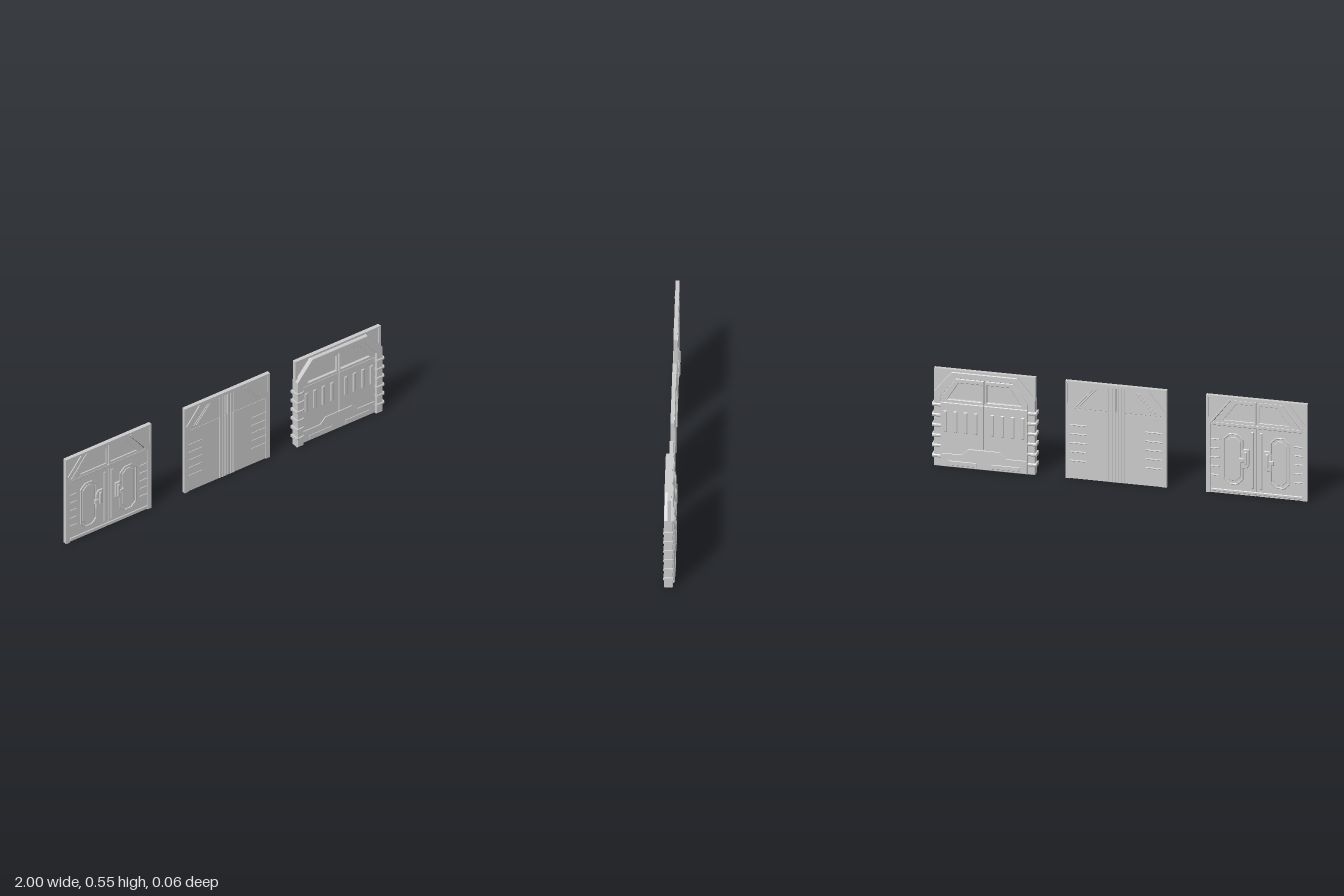
import * as THREE from 'three';

const mat = new THREE.MeshStandardMaterial({ color: 0xcccccc, flatShading: true });

// Flat polygon extruded from z0 to z1, with bevelled edges and optional holes
function slab(parent, name, pts, z0, z1, bevel = 0, holes = []) {
  const toV = a => a.map(p => new THREE.Vector2(p[0], p[1]));
  const shape = new THREE.Shape(toV(pts));
  holes.forEach(h => shape.holes.push(new THREE.Path(toV(h))));
  const geo = new THREE.ExtrudeGeometry(shape, {
    depth: z1 - z0 - 2 * bevel, bevelEnabled: bevel > 0, bevelThickness: bevel,
    bevelSize: bevel, bevelOffset: -bevel, bevelSegments: 1, steps: 1,
  });
  geo.translate(0, 0, z0 + bevel);
  const mesh = new THREE.Mesh(geo, mat);
  mesh.name = name;
  parent.add(mesh);
  return mesh;
}

const rect = (x0, x1, y0, y1) => [[x0, y0], [x1, y0], [x1, y1], [x0, y1]];
const flip = pts => pts.map(([x, y]) => [-x, y]).reverse();
const both = half => [...half, ...flip(half)];
const octagon = (x0, x1, y0, y1, c) => [
  [x0 + c, y0], [x1 - c, y0], [x1, y0 + c], [x1, y1 - c],
  [x1 - c, y1], [x0 + c, y1], [x0, y1 - c], [x0, y0 + c]];

// Same slab on the left and the right half
function pair(parent, name, pts, z0, z1, bevel = 0, holes = []) {
  slab(parent, name + 'Left', pts, z0, z1, bevel, holes);
  slab(parent, name + 'Right', flip(pts), z0, z1, bevel, holes.map(flip));
}

// Straight bar of width w between two points
function bar([ax, ay], [bx, by], w) {
  const l = Math.hypot(bx - ax, by - ay);
  const nx = -(by - ay) / l * w / 2, ny = (bx - ax) / l * w / 2;
  return [[ax - nx, ay - ny], [bx - nx, by - ny], [bx + nx, by + ny], [ax + nx, ay + ny]];
}

// Thin surround with chamfered doorway and sunken corner triangles
function surround(g) {
  const outline = [
    [0.245, 0], [0.27, 0], [0.27, 0.547], [-0.27, 0.547], [-0.27, 0], [-0.245, 0],
    [-0.245, 0.39], [-0.137, 0.53], [0.137, 0.53], [0.245, 0.39]];
  const tri = [[0.258, 0.425], [0.258, 0.535], [0.172, 0.535]];
  slab(g, 'surround', outline, -0.01, 0.011, 0, [tri, flip(tri)]);
  pair(g, 'cornerPanel', tri, -0.004, 0.005);
}

// Double door with long panels, handles and windows
function panelledDoor() {
  const g = new THREE.Group();
  g.name = 'panelledDoor';
  surround(g);
  pair(g, 'leaf', rect(0.003, 0.247, 0, 0.39), -0.005, 0.005);
  slab(g, 'seam', rect(-0.003, 0.003, 0, 0.53), -0.002, 0.002);
  slab(g, 'lintel', rect(-0.245, 0.245, 0.38, 0.4), -0.009, 0.009, 0.003);
  slab(g, 'threshold', rect(-0.245, 0.245, 0.008, 0.024), -0.009, 0.009, 0.003);
  // Windows
  const outer = [[0.003, 0.395], [0.235, 0.395], [0.132, 0.53], [0.003, 0.53]];
  const inner = [[0.014, 0.414], [0.178, 0.414], [0.108, 0.508], [0.014, 0.508]];
  pair(g, 'windowFrame', outer, -0.008, 0.008, 0.002, [inner]);
  pair(g, 'windowPane', inner, -0.002, 0.002);
  pair(g, 'windowSlope', bar([0.242, 0.4], [0.138, 0.533], 0.012), -0.012, 0.013, 0.003);
  // Long octagonal panels, handles and ribs
  pair(g, 'panelRim', octagon(0.072, 0.178, 0.055, 0.342, 0.03), -0.009, 0.009, 0.003,
    [octagon(0.08, 0.17, 0.063, 0.334, 0.027)]);
  pair(g, 'panel', octagon(0.088, 0.162, 0.075, 0.322, 0.025), -0.008, 0.008, 0.002);
  pair(g, 'centreStrip', rect(0.016, 0.03, 0.04, 0.36), -0.009, 0.009, 0.003);
  pair(g, 'handlePlate', [[0.04, 0.17], [0.052, 0.15], [0.082, 0.15], [0.082, 0.24], [0.07, 0.262], [0.04, 0.262]],
    -0.013, 0.013, 0.003);
  pair(g, 'handleGrip', rect(0.05, 0.064, 0.175, 0.248), -0.02, 0.02, 0.004);
  pair(g, 'handleBolt', rect(0.066, 0.092, 0.185, 0.21), -0.017, 0.017, 0.003);
  for (let i = 0; i < 5; i++) {
    const y = 0.1 + i * 0.05;
    pair(g, 'sideRib', rect(0.2, 0.247, y - 0.004, y + 0.004), -0.008, 0.008, 0.002);
  }
  return g;
}

// Plain double door with grooved centre
function plainDoor() {
  const g = new THREE.Group();
  g.name = 'plainDoor';
  surround(g);
  pair(g, 'leaf', [[0.001, 0], [0.247, 0], [0.247, 0.392], [0.001, 0.392]], -0.006, 0.006);
  pair(g, 'upperLeaf', [[0.001, 0.395], [0.243, 0.395], [0.138, 0.532], [0.001, 0.532]], -0.007, 0.007, 0.002);
  slab(g, 'core', rect(-0.24, 0.24, 0, 0.397), -0.004, 0.004);
  for (const x of [0.003, 0.02, 0.037])
    pair(g, 'centreStrip', rect(x, x + 0.011, 0, 0.54), -0.01, 0.01, 0.002);
  for (const d of [0, 0.016])
    pair(g, 'slopeBar', bar([0.212 - d, 0.41], [0.122 - d, 0.515], 0.006), -0.009, 0.009, 0.002);
  for (let i = 0; i < 5; i++) {
    const y = 0.1 + i * 0.05;
    pair(g, 'sideRib', rect(0.157, 0.247, y - 0.004, y + 0.004), -0.008, 0.008, 0.002);
  }
  return g;
}

// Heavy double door with ribbed posts and slotted leaves
function armouredDoor() {
  const g = new THREE.Group();
  g.name = 'armouredDoor';
  surround(g);
  const arch = [
    [0.23, 0], [0.27, 0], [0.27, 0.42], [0.175, 0.535], [-0.175, 0.535], [-0.27, 0.42], [-0.27, 0],
    [-0.23, 0], [-0.23, 0.395], [-0.15, 0.5], [0.15, 0.5], [0.23, 0.395]];
  slab(g, 'arch', arch, -0.017, 0.029, 0.003);
  for (let i = 0; i < 6; i++) {
    const y = 0.057 + i * 0.0575;
    pair(g, 'postRib', rect(0.228, 0.28, y - 0.009, y + 0.009), -0.022, 0.033, 0.005);
  }
  // Leaves and windows
  pair(g, 'leaf', rect(0.002, 0.232, 0.004, 0.365), -0.025, 0.016, 0.003);
  slab(g, 'core', rect(-0.23, 0.23, 0, 0.37), -0.012, 0.01);
  const frame = [[0.002, 0.362], [0.232, 0.362], [0.232, 0.395], [0.152, 0.502], [0.002, 0.502]];
  const glass = [[0.014, 0.382], [0.196, 0.382], [0.136, 0.478], [0.014, 0.478]];
  pair(g, 'windowFrame', frame, -0.021, 0.016, 0.003, [glass]);
  pair(g, 'windowPane', glass, -0.006, 0.004);
  // Raised slats
  for (let i = 0; i < 4; i++) {
    const x = 0.034 + i * 0.054;
    pair(g, 'slat', rect(x, x + 0.02, 0.2, 0.32), -0.03, 0.021, 0.004);
  }
  // Stepped kick plate
  const step = both([[0, 0.004], [0.228, 0.004], [0.228, 0.08], [0.12, 0.08], [0.085, 0.115]]
    .slice(1));
  slab(g, 'kickPlate', step, -0.027, 0.019, 0.003);
  pair(g, 'kickPad', rect(0.04, 0.19, 0.015, 0.04), -0.029, 0.021, 0.002);
  return g;
}

export function createModel() {
  const model = new THREE.Group();
  model.name = 'doorSet';
  [[panelledDoor, -0.73], [plainDoor, 0.02], [armouredDoor, 0.72]].forEach(([make, x]) => {
    const door = make();
    door.position.x = x;
    model.add(door);
  });
  return model;
}
